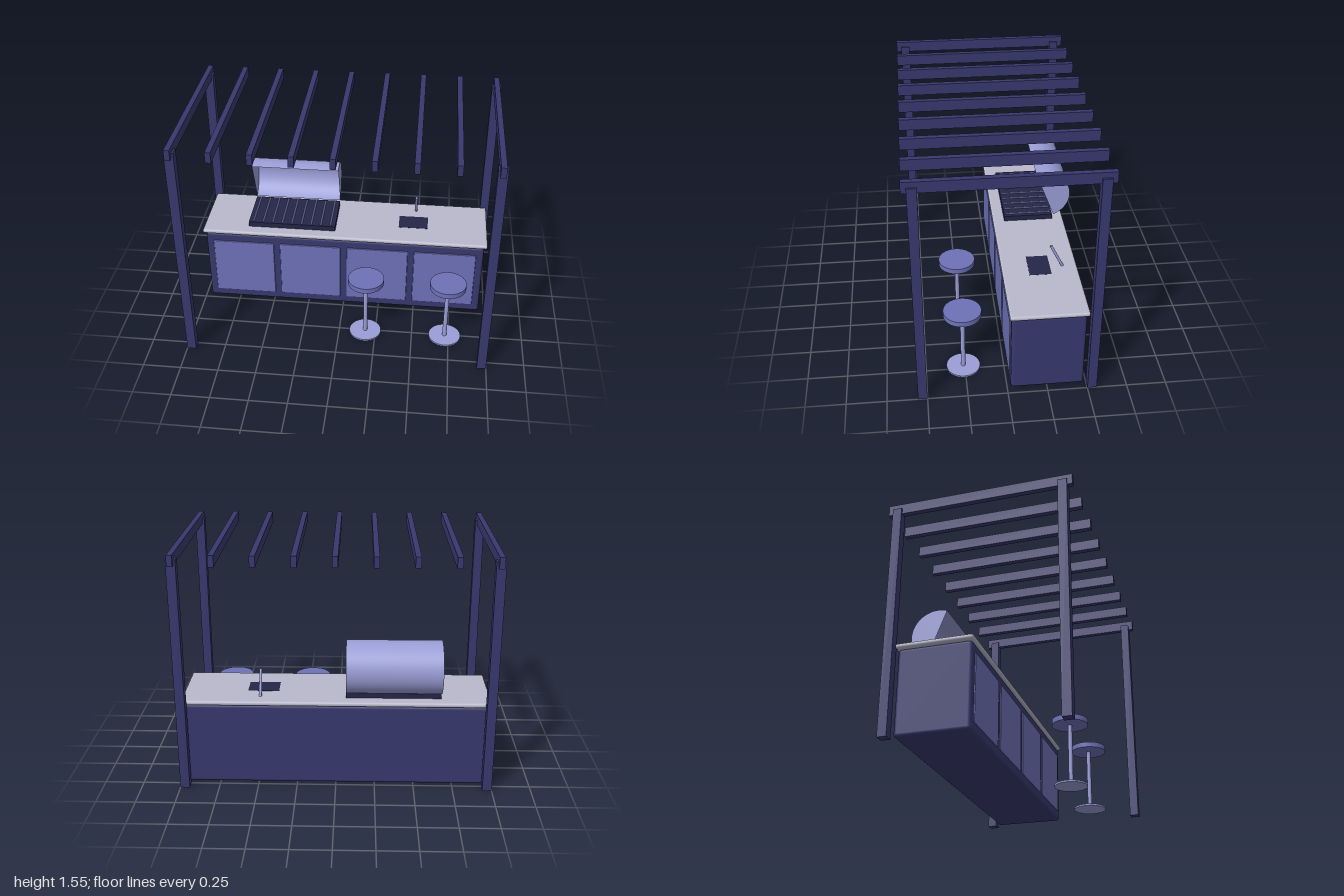
import * as THREE from 'three';
import { RoundedBoxGeometry } from 'three/addons/geometries/RoundedBoxGeometry.js';

const material = (name, color, side = THREE.FrontSide) => {
  const m = new THREE.MeshStandardMaterial({ color, side });
  m.name = name;
  return m;
};

export function createModel() {
  const navy = material('navy frame', 0x38386f);
  const blue = material('panel blue', 0x6e72b8);
  const steel = material('pale steel', 0x9a9ed6, THREE.DoubleSide);
  const stone = material('grey stone', 0xb9b9cc);
  const charcoal = material('charcoal', 0x252548);

  const model = new THREE.Group();
  model.name = 'outdoorKitchen';

  const add = (name, geometry, mat, x, y, z, parent = model) => {
    const mesh = new THREE.Mesh(geometry, mat);
    mesh.name = name;
    mesh.position.set(x, y, z);
    parent.add(mesh);
    return mesh;
  };
  const group = (name, x = 0, y = 0, z = 0) => {
    const g = new THREE.Group();
    g.name = name;
    g.position.set(x, y, z);
    model.add(g);
    return g;
  };

  // Pergola: four posts carrying nine evenly spaced rafters
  const pergola = group('pergola');
  const postGeo = new THREE.BoxGeometry(0.06, 1.518, 0.058);
  for (const x of [-0.97, 0.97])
    for (const z of [-0.53, 0.53]) add('post', postGeo, navy, x, 0.759, z, pergola);
  const rafterGeo = new THREE.BoxGeometry(0.035, 0.07, 1.18);
  for (let i = 0; i < 9; i++) add('rafter', rafterGeo, navy, -0.97 + i * 0.2425, 1.518, 0, pergola);

  // Counter: cabinet, four front doors and a stone worktop
  const counter = group('counter');
  add('cabinet', new RoundedBoxGeometry(1.92, 0.545, 0.458, 3, 0.02), navy, 0, 0.2775, -0.252, counter);
  add('worktop', new RoundedBoxGeometry(1.96, 0.03, 0.484, 3, 0.014), stone, 0, 0.565, -0.253, counter);
  const doorGeo = new RoundedBoxGeometry(0.422, 0.425, 0.014, 2, 0.005);
  for (let i = 0; i < 4; i++) add('door', doorGeo, blue, -0.698 + i * 0.4653, 0.278, -0.023, counter);

  // Sink basin and tilted tap
  add('sink', new THREE.BoxGeometry(0.2, 0.006, 0.14), charcoal, 0.47, 0.578, -0.25, counter);
  const tap = add('tap', new THREE.CylinderGeometry(0.009, 0.009, 0.18, 16), steel, 0.483, 0.656, -0.363, counter);
  tap.rotation.x = 0.46;

  // Grill: firebox, cooking bars and an open half-round lid
  const grill = group('grill', -0.366, 0, 0);
  add('firebox', new THREE.BoxGeometry(0.602, 0.037, 0.33), charcoal, 0, 0.597, -0.253, grill);
  const barGeo = new THREE.CylinderGeometry(0.005, 0.005, 0.305, 8).rotateX(Math.PI / 2);
  for (let i = -4; i <= 4; i++) add('grateBar', barGeo, steel, i * 0.067, 0.618, -0.253, grill);

  const radius = 0.17, start = 1.2, width = 0.604;
  const lid = new THREE.Group();
  lid.name = 'lid';
  lid.position.set(0, 0.775, -0.364);
  grill.add(lid);
  const shell = new THREE.CylinderGeometry(radius, radius, width, 40, 1, true, start, Math.PI);
  add('lidShell', shell.rotateZ(Math.PI / 2), steel, 0, 0, 0, lid);
  const capGeo = new THREE.CircleGeometry(radius, 40, start, Math.PI).rotateY(-Math.PI / 2);
  for (const s of [-1, 1]) add('lidEnd', capGeo, steel, (s * width) / 2, 0, 0, lid);

  // Two bar stools
  for (const x of [0.18, 0.725]) {
    const stool = group('stool', x, 0, 0.26);
    add('seat', new THREE.CylinderGeometry(0.12, 0.12, 0.036, 40), blue, 0, 0.44, 0, stool);
    add('stem', new THREE.CylinderGeometry(0.0145, 0.0145, 0.42, 20), steel, 0, 0.215, 0, stool);
    add('foot', new THREE.CylinderGeometry(0.108, 0.108, 0.012, 40), steel, 0, 0.006, 0, stool);
  }

  return model;
}
